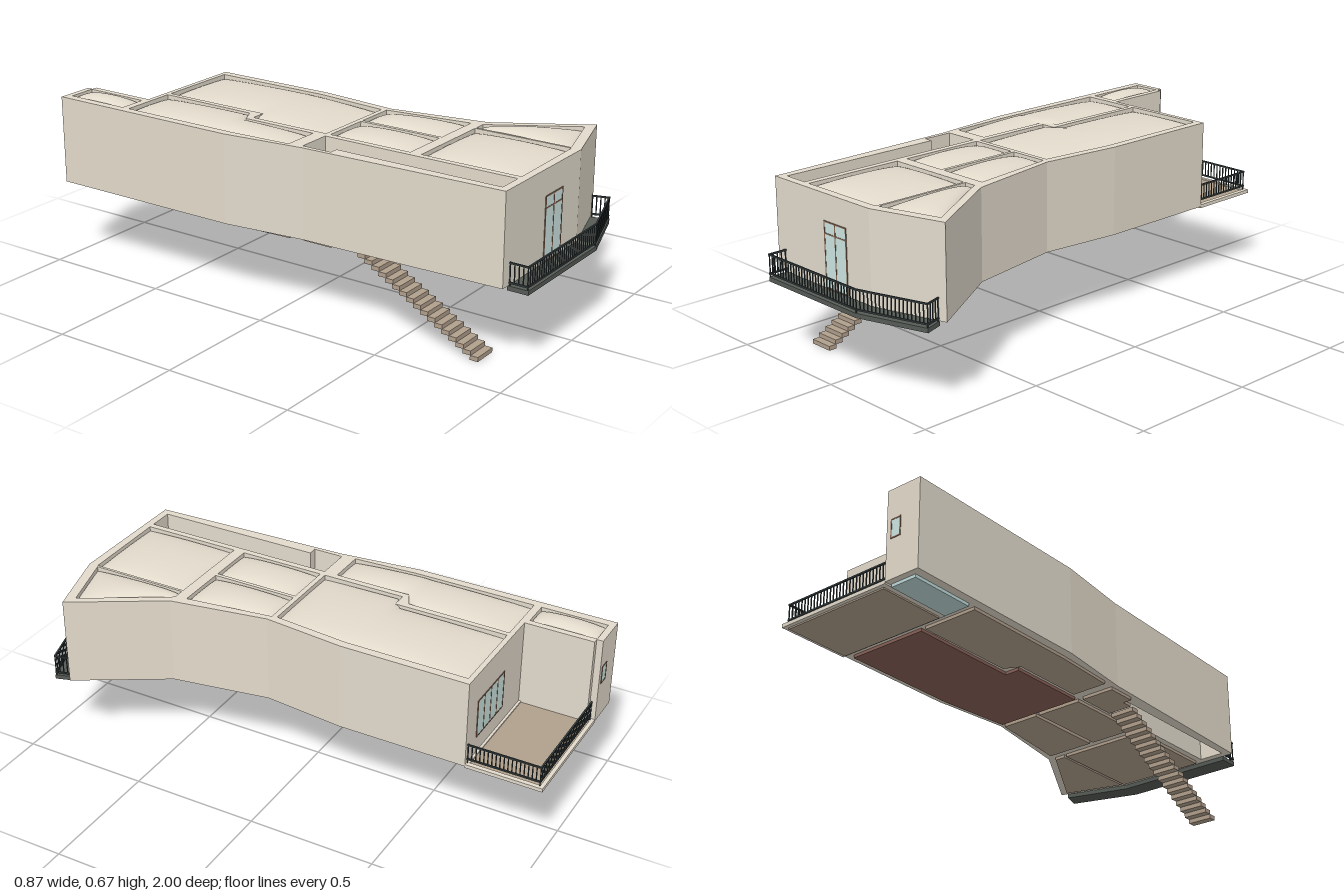
import * as THREE from 'three';

const mat = (name, color) => {
  const m = new THREE.MeshStandardMaterial({ color });
  m.name = name;
  return m;
};

const FLOOR = 0.309, TOP = 0.654;

// Room outlines as [x, z] corners, all running clockwise seen from above
const ROOMS = {
  wing: [[-0.403, -0.975], [-0.295, -0.975], [-0.295, -0.715], [-0.403, -0.715]],
  hall: [[-0.403, -0.685], [-0.18, -0.685], [-0.185, -0.28], [-0.245, -0.25], [-0.245, 0.055], [-0.39, 0.055], [-0.403, -0.2]],
  living: [[-0.16, -0.685], [0.165, -0.685], [0.165, -0.2], [0.135, 0.095], [-0.22, 0.095], [-0.22, -0.235], [-0.16, -0.235]],
  middleLeft: [[-0.22, 0.115], [-0.03, 0.115], [-0.03, 0.455], [-0.22, 0.455]],
  middleRight: [[-0.015, 0.115], [0.14, 0.115], [0.185, 0.455], [-0.015, 0.455]],
  front: [[-0.22, 0.5], [0.14, 0.5], [0.14, 0.89], [-0.22, 0.895]],
  corner: [[0.15, 0.5], [0.195, 0.5], [0.385, 0.815], [0.15, 0.885]],
};
const STAIRWELL = [[-0.38, 0.11], [-0.245, 0.11], [-0.245, 0.895], [-0.345, 0.895], [-0.345, 0.23], [-0.38, 0.23]];
const OUTLINE = [
  [-0.436, -1], [-0.29, -1], [-0.29, -0.975], [-0.27, -0.975], [-0.27, -0.705], [0.198, -0.705],
  [0.198, -0.2], [0.165, 0.12], [0.23, 0.5], [0.433, 0.84], [0.147, 0.925], [-0.375, 0.925], [-0.4, 0.12], [-0.436, -0.2],
];

// Upright prism over an [x, z] outline, with optional holes
function prism(points, y0, y1, holes = []) {
  const toVec = p => new THREE.Vector2(p[0], -p[1]);
  const shape = new THREE.Shape(points.map(toVec).reverse());
  holes.forEach(h => shape.holes.push(new THREE.Path(h.map(toVec))));
  const geo = new THREE.ExtrudeGeometry(shape, { depth: y1 - y0, bevelEnabled: false });
  return geo.rotateX(-Math.PI / 2).translate(0, y0, 0);
}

// Point on an edge polyline of [x, z], at fraction v of its z range
function onEdge(edge, v) {
  const z0 = edge[0][1], z = z0 + (edge[edge.length - 1][1] - z0) * v;
  let i = 0;
  while (i < edge.length - 2 && z > edge[i + 1][1]) i++;
  const [xa, za] = edge[i], [xb, zb] = edge[i + 1];
  return [xa + (xb - xa) * (z - za) / (zb - za), z];
}

// Softly domed panel between a left and a right edge, both running back to front
function pillow(left, right, low = 0.634, rise = 0.031, n = 32) {
  const geo = new THREE.PlaneGeometry(1, 1, n, n);
  const pos = geo.attributes.position;
  for (let j = 0; j <= n; j++) {
    const t = -Math.cos(Math.PI * j / n);
    const [xl, zl] = onEdge(left, (t + 1) / 2), [xr, zr] = onEdge(right, (t + 1) / 2);
    for (let i = 0; i <= n; i++) {
      const s = -Math.cos(Math.PI * i / n), u = (s + 1) / 2;
      const h = Math.pow(Math.max(0, (1 - s * s) * (1 - t * t)), 0.42);
      pos.setXYZ(j * (n + 1) + i, xl + (xr - xl) * u, low + rise * h, zl + (zr - zl) * u);
    }
  }
  geo.computeVertexNormals();
  return geo;
}

export function createModel() {
  const model = new THREE.Group();
  model.name = 'house';
  const plaster = mat('plaster', 0xe2dacb);
  const wood = mat('wood floor', 0xb09f8c);
  const redWood = mat('red wood floor', 0x876056);
  const tile = mat('tile floor', 0xbfdada);
  const slate = mat('balcony slab', 0x565b56);
  const iron = mat('railing iron', 0x363e3e);
  const glass = mat('glass', 0xcde5e1);
  const frame = mat('window frame', 0x886854);

  const add = (name, geo, material, parent = model) => {
    const m = new THREE.Mesh(geo, material);
    m.name = name;
    parent.add(m);
    return m;
  };
  const group = (name) => {
    const g = new THREE.Group();
    g.name = name;
    model.add(g);
    return g;
  };
  const box = (name, w, h, d, x, y, z, material, parent) =>
    add(name, new THREE.BoxGeometry(w, h, d).translate(x, y, z), material, parent);

  // Walls with every room cut through
  add('walls', prism(OUTLINE, FLOOR, TOP, [...Object.values(ROOMS), STAIRWELL]), plaster);

  // Floors
  const floorMaterials = { wing: tile, living: redWood };
  for (const [name, pts] of Object.entries(ROOMS))
    add(name + 'Floor', prism(pts, 0.297, 0.312), floorMaterials[name] || wood);
  add('landing', prism([[-0.38, 0.11], [-0.245, 0.11], [-0.245, 0.275], [-0.345, 0.275], [-0.345, 0.23], [-0.38, 0.23]], 0.297, 0.312), wood);

  // Domed roof panels
  const roof = group('roofPanels');
  for (const key of ['wing', 'middleLeft', 'middleRight', 'front', 'corner']) {
    const [a, b, c, d] = ROOMS[key];
    add('roofPanel', pillow([a, d], [b, c]), plaster, roof);
  }
  add('hallRoofPanel', pillow(
    [[-0.403, -0.685], [-0.403, -0.2], [-0.39, 0.055]],
    [[-0.18, -0.685], [-0.185, -0.28], [-0.245, -0.25], [-0.245, 0.055]]), plaster, roof);
  add('livingRoofPanel', pillow(
    [[-0.16, -0.685], [-0.16, -0.245], [-0.22, -0.23], [-0.22, 0.095]],
    [[0.165, -0.685], [0.165, -0.2], [0.135, 0.095]]), plaster, roof);

  // Staircase
  const stairs = group('stairs');
  const steps = 18;
  for (let i = 0; i < steps; i++) {
    const t = i / (steps - 1);
    box('step', 0.098, 0.0168, 0.032, -0.293, 0.2945 - 0.2861 * t, 0.306 + 0.498 * t, wood, stairs);
  }

  // Railing along a path of [x, z] points
  function railing(name, path, y0, low, high) {
    const g = group(name);
    for (let i = 0; i + 1 < path.length; i++) {
      const [x0, z0] = path[i], [x1, z1] = path[i + 1];
      const len = Math.hypot(x1 - x0, z1 - z0);
      for (const y of [low, high]) {
        const bar = box('rail', len + 0.006, 0.006, 0.006, 0, 0, 0, iron, g);
        bar.position.set((x0 + x1) / 2, y, (z0 + z1) / 2);
        bar.rotation.y = -Math.atan2(z1 - z0, x1 - x0);
      }
      const n = Math.max(2, Math.round(len / 0.0155));
      for (let k = 0; k <= n; k++) {
        const t = k / n, bottom = k % n ? low : y0;
        box('baluster', 0.0035, high - bottom, 0.0035, x0 + (x1 - x0) * t, (high + bottom) / 2, z0 + (z1 - z0) * t, iron, g);
      }
    }
  }

  // Front balcony
  add('balconySlab', prism([[-0.335, 0.92], [0.147, 0.92], [0.402, 0.845], [0.425, 0.915], [0.155, 1], [-0.335, 1]], 0.29, 0.307), slate);
  railing('balconyRailing', [[-0.333, 0.928], [-0.333, 0.996], [0.154, 0.996], [0.421, 0.912], [0.404, 0.853]], 0.307, 0.319, 0.39);

  // Back terrace
  const deck = [[-0.27, -0.985], [0.18, -0.985], [0.18, -0.715], [-0.27, -0.715]];
  add('terraceEdge', prism([[-0.29, -1], [0.198, -1], [0.198, -0.705], [-0.29, -0.705]], 0.303, 0.317, [deck]), plaster);
  add('terraceFloor', prism(deck, 0.297, 0.312), wood);
  railing('terraceRailing', [[-0.28, -0.984], [0.183, -0.984], [0.183, -0.708]], 0.315, 0.333, 0.393);

  // Framed glazing: vertical bars at xs, horizontal bars at ys
  function glazing(name, xs, ys, z) {
    const g = group(name);
    const last = a => a[a.length - 1];
    const w = last(xs) - xs[0], h = last(ys) - ys[0];
    const cx = (last(xs) + xs[0]) / 2, cy = (last(ys) + ys[0]) / 2;
    box('glass', w, h, 0.007, 0, 0, 0, glass, g);
    xs.forEach(x => box('frameUpright', 0.005, h, 0.009, x - cx, 0, 0, frame, g));
    ys.forEach(y => box('frameBar', w + 0.005, 0.005, 0.009, 0, y - cy, 0, frame, g));
    g.position.set(cx, cy, z);
  }
  glazing('balconyDoor', [-0.098, -0.04, 0.019], [0.312, 0.51, 0.553], 0.923);
  glazing('backWindow', [-0.108, -0.053, 0.002, 0.057, 0.112], [0.385, 0.535], -0.703);
  glazing('wingWindow', [-0.351, -0.311], [0.465, 0.535], -0.9975);

  return model;
}
